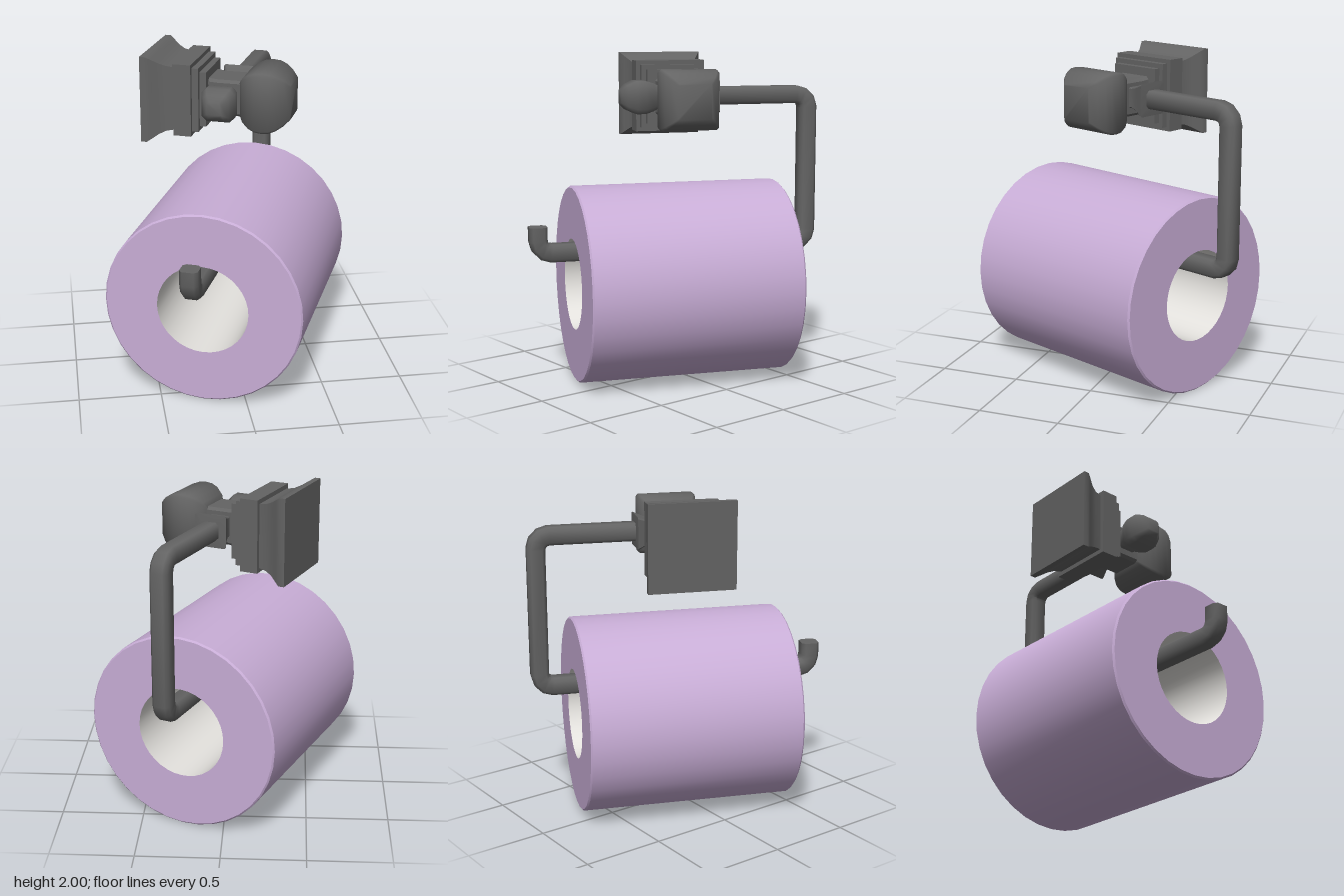
import * as THREE from 'three';
import { toCreasedNormals } from 'three/addons/utils/BufferGeometryUtils.js';

const V = (x, y, z) => new THREE.Vector3(x, y, z);
const X = V(1, 0, 0), Y = V(0, 1, 0), Z = V(0, 0, 1);

// Square of half size h with corners cut by c, as [a, b] pairs counter-clockwise
function square(h, c) {
  if (!c) return [[h, -h], [h, h], [-h, h], [-h, -h]];
  const k = h - c;
  return [[h, -k], [h, k], [k, h], [-k, h], [-h, k], [-h, -k], [-k, -h], [k, -h]];
}

// Ring of points around a centre; the loft advances along a x b
const ring = (centre, a, b, pts) =>
  pts.map(([p, q]) => centre.clone().addScaledVector(a, p).addScaledVector(b, q));

// Skin a series of rings and close both ends
function loft(rings, crease) {
  const pos = [];
  const tri = (...pts) => pts.forEach((p) => pos.push(p.x, p.y, p.z));
  const n = rings[0].length;
  for (let i = 0; i < rings.length - 1; i++) {
    for (let j = 0; j < n; j++) {
      const k = (j + 1) % n, r = rings[i], s = rings[i + 1];
      tri(r[j], r[k], s[k]);
      tri(r[j], s[k], s[j]);
    }
  }
  const first = rings[0], last = rings[rings.length - 1];
  for (let j = 1; j < n - 1; j++) {
    tri(first[0], first[j + 1], first[j]);
    tri(last[0], last[j], last[j + 1]);
  }
  const g = new THREE.BufferGeometry();
  g.setAttribute('position', new THREE.Float32BufferAttribute(pos, 3));
  return toCreasedNormals(g, crease);
}

// Square-section turning: profile is [distance along a x b, half size]
function turned(profile, origin, a, b, cut, crease = 0.7) {
  const d = a.clone().cross(b);
  return loft(profile.map(([t, h]) =>
    ring(origin.clone().addScaledVector(d, t), a, b, square(h, h * cut))), crease);
}

// Bar of square section bent along [z, y] points, with rounded bends
function bentBar(pts, x, h, cut, radius) {
  const path = [];
  pts.forEach((p, i) => {
    const c = new THREE.Vector2(...p);
    if (i === 0 || i === pts.length - 1) return path.push(c);
    const toward = (q) => new THREE.Vector2(...q).sub(c).setLength(radius).add(c);
    const s = toward(pts[i - 1]), e = toward(pts[i + 1]);
    const centre = s.clone().add(e).sub(c);
    for (let k = 0; k <= 3; k++) {
      const t = (k / 3) * Math.PI / 2;
      path.push(centre.clone()
        .addScaledVector(s.clone().sub(centre), Math.cos(t))
        .addScaledVector(e.clone().sub(centre), Math.sin(t)));
    }
  });
  const rings = path.map((p, i) => {
    const d = new THREE.Vector2();
    if (i > 0) d.add(p.clone().sub(path[i - 1]).normalize());
    if (i < path.length - 1) d.add(path[i + 1].clone().sub(p).normalize());
    d.normalize();
    return ring(V(x, p.y, p.x), X, V(0, d.x, -d.y), square(h, cut));
  });
  return loft(rings, 0.9);
}

export function createModel() {
  const metal = new THREE.MeshStandardMaterial({ color: 0x646464 });
  metal.name = 'dark metal';
  const paper = new THREE.MeshStandardMaterial({ color: 0xc8add6 });
  paper.name = 'lilac paper';
  const card = new THREE.MeshStandardMaterial({ color: 0xe4e2de });
  card.name = 'pale core';

  const model = new THREE.Group();
  model.name = 'paperRollHolder';
  const add = (name, geometry, material) => {
    const mesh = new THREE.Mesh(geometry, material);
    mesh.name = name;
    model.add(mesh);
    return mesh;
  };

  // Paper roll with its hollow core, lying along z
  const R = 0.605, r = 0.28, L = 0.65, e = 0.01;
  const lathe = (pts) => toCreasedNormals(
    new THREE.LatheGeometry(pts.map((p) => new THREE.Vector2(...p)), 36), 0.6)
    .rotateX(Math.PI / 2).translate(0, R, 0);
  add('paperRoll', lathe([[r, -L], [R - e, -L], [R, e - L], [R, L - e], [R - e, L], [r, L]]), paper);
  add('rollCore', lathe([[r, L], [r, -L]]), card);

  // Wall plate, stepped block, neck and swelling end knob along x
  const axis = V(0, 1.737, -0.02);
  add('wallPlate', turned([[-0.49, 0.262], [-0.455, 0.262], [-0.425, 0.243], [-0.39, 0.22],
    [-0.35, 0.202], [-0.295, 0.192]], axis, Y, Z, 0), metal);
  add('steppedBlock', turned([[-0.30, 0.22], [-0.19, 0.22], [-0.19, 0.195], [-0.15, 0.195],
    [-0.15, 0.167], [-0.11, 0.167], [-0.11, 0.13]], axis, Y, Z, 0), metal);
  add('neck', turned([[-0.12, 0.118], [-0.06, 0.11], [0.1, 0.11]], axis, Y, Z, 0.15), metal);
  add('endKnob', turned([[0.075, 0.1], [0.1, 0.135], [0.14, 0.163], [0.18, 0.178], [0.225, 0.183],
    [0.27, 0.179], [0.31, 0.165], [0.35, 0.14], [0.387, 0.105]], axis, Y, Z, 0.08, 0.9), metal);

  // Finial in front of the neck, flared collar behind it
  const pivot = V(-0.008, 1.745, 0);
  add('finial', turned([[0.06, 0.06], [0.11, 0.066], [0.15, 0.085], [0.2, 0.1], [0.255, 0.1],
    [0.31, 0.076], [0.345, 0.045]], pivot, X, Y, 0.3, 0.9), metal);
  add('collar', turned([[0.08, 0.062], [0.15, 0.062], [0.19, 0.072], [0.26, 0.1], [0.265, 0.055]],
    pivot, Y, X, 0.1), metal);

  // Hooked bar carrying the roll
  add('rollBar', bentBar([[-0.1, 1.745], [-0.863, 1.745], [-0.863, 0.807], [0.863, 0.807],
    [0.863, 0.97]], -0.008, 0.055, 0.02, 0.08), metal);

  // The whole holder stands turned about the vertical
  model.rotation.y = -0.402;
  const group = new THREE.Group();
  group.name = 'model';
  group.add(model);
  return group;
}
